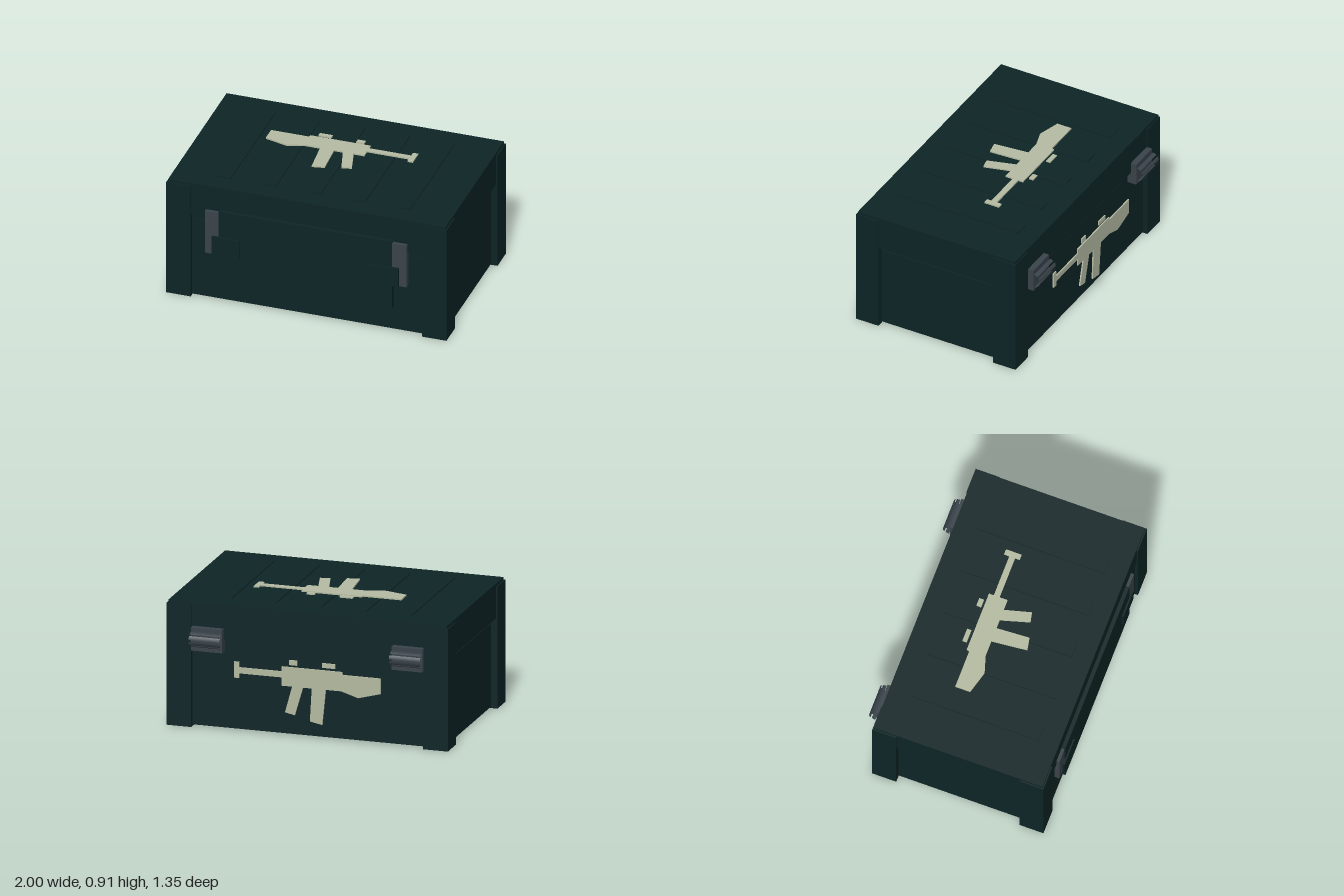
import * as THREE from 'three';

const mat = (name, color) => {
  const m = new THREE.MeshStandardMaterial({ color });
  m.name = name;
  return m;
};

export function createModel() {
  const root = new THREE.Group();
  root.name = 'crate';
  const green = mat('darkGreen', 0x0e2526);
  const grey = mat('steelGrey', 0x3a444b);
  const cream = mat('paleCream', 0xb6bca3);

  const add = (name, geometry, material, parent = root) => {
    const m = new THREE.Mesh(geometry, material);
    m.name = name;
    parent.add(m);
    return m;
  };
  // Box given by its lower and upper limits on each axis
  const box = (name, material, x0, x1, y0, y1, z0, z1) => {
    const g = new THREE.BoxGeometry(x1 - x0, y1 - y0, z1 - z0);
    g.translate((x0 + x1) / 2, (y0 + y1) / 2, (z0 + z1) / 2);
    return add(name, g, material);
  };

  // Lower body, recessed lid lip and overhanging lid, with a thin open seam
  box('body', green, -0.955, 0.955, 0.01, 0.597, -0.555, 0.62);
  box('lidLip', green, -0.955, 0.955, 0.603, 0.636, -0.555, 0.62);
  box('lid', green, -0.99, 0.99, 0.635, 0.88, -0.58, 0.635);

  // Corner posts
  for (const s of [-1, 1]) {
    const [x0, x1] = s < 0 ? [-1, -0.825] : [0.825, 1];
    box('backPost', green, x0, x1, 0, 0.86, -0.588, -0.415);
    box('frontPost', green, x0, x1, 0, 0.86, 0.472, 0.645);
  }

  // Raised ribs on the lid
  for (let i = -2; i <= 2; i++) {
    box('lidRib', green, i * 0.32 - 0.05, i * 0.32 + 0.05, 0.875, 0.887, -0.435, 0.495);
  }

  // Front plate and its two latches
  box('frontPlate', green, -0.62, 0.617, 0.187, 0.71, 0.615, 0.662);
  for (const s of [-1, 1]) {
    const span = (a, b) => (s < 0 ? [-b, -a] : [a, b]);
    box('latchStrap', grey, ...span(0.617, 0.72), 0.37, 0.697, 0.615, 0.657);
    box('latchBlock', green, ...span(0.468, 0.665), 0.37, 0.513, 0.63, 0.673);
  }

  // Back hinges: mounting leaf plus a knuckle of separate wedge segments
  const wedgeSpan = 0.55, radius = 0.052;
  for (const s of [-1, 1]) {
    const [x0, x1] = s < 0 ? [-0.83, -0.61] : [0.595, 0.815];
    box('hingeLeaf', grey, x0, x1, 0.55, 0.713, -0.622, -0.55);
    for (let i = 0; i < 4; i++) {
      const mid = (i - 1.5) * 0.78;
      const shape = new THREE.Shape();
      shape.moveTo(-0.004, 0);
      shape.absarc(0, 0, radius, mid - wedgeSpan / 2, mid + wedgeSpan / 2, false);
      shape.closePath();
      const g = new THREE.ExtrudeGeometry(shape, { depth: x1 - x0, bevelEnabled: false, curveSegments: 3 });
      g.rotateY(Math.PI / 2); // profile x now points to the back
      g.translate(x0, 0.632, -0.622);
      add('hingeKnuckle', g, grey);
    }
  }

  // Flat silhouette emblem: main outline, two lower bars and two upper tabs
  const outlines = [
    [[-0.53, 0.165], [-0.26, 0.165], [-0.255, 0.185], [0.175, 0.185], [0.175, 0.15], [0.475, 0.15],
      [0.475, 0.188], [0.513, 0.188], [0.513, 0.075], [0.475, 0.075], [0.475, 0.108], [0.175, 0.108],
      [0.175, 0.05], [-0.25, 0.05], [-0.37, 0.013], [-0.53, 0.057]],
    [[-0.14, 0.05], [-0.04, 0.05], [-0.027, -0.183], [-0.115, -0.2]],
    [[0.022, 0.05], [0.1, 0.05], [0.15, -0.135], [0.08, -0.15]],
    [[-0.205, 0.235], [-0.113, 0.235], [-0.113, 0.203], [-0.205, 0.203]],
    [[0.065, 0.235], [0.122, 0.235], [0.122, 0.2], [0.065, 0.2]],
  ];
  const makeEmblem = (name) => {
    const g = new THREE.Group();
    g.name = name;
    for (const pts of outlines) {
      const shape = new THREE.Shape(pts.map(([x, y]) => new THREE.Vector2(x, y)));
      add('emblemPiece', new THREE.ExtrudeGeometry(shape, { depth: 0.0098, bevelEnabled: false }), cream, g);
    }
    root.add(g);
    return g;
  };
  const top = makeEmblem('lidEmblem');
  top.rotation.x = -Math.PI / 2;
  top.position.y = 0.9;
  makeEmblem('backEmblem').position.set(0, 0.31, -0.612);

  return root;
}
